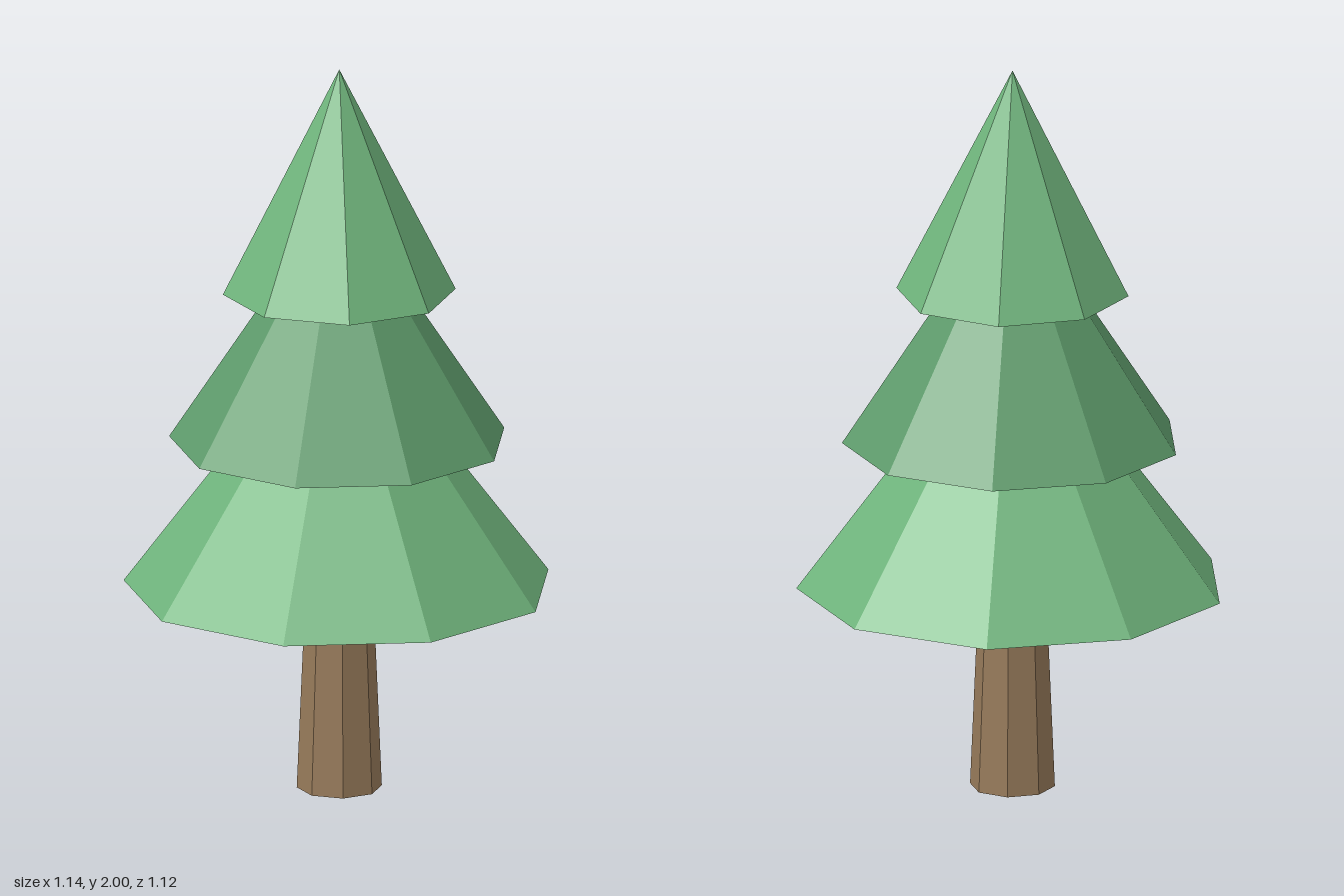
import * as THREE from 'three';

const AXIS_Z = 0.015; // trunk axis sits slightly forward of the centre

const paint = (color) => new THREE.MeshStandardMaterial({ color, flatShading: true, roughness: 0.9 });

// Faceted, closed section of the tree between two heights
function section(name, material, sides, bottomY, topY, bottomR, topR, turn = 0) {
  const height = topY - bottomY;
  const geometry = topR > 0
    ? new THREE.CylinderGeometry(topR, bottomR, height, sides, 1, false, turn)
    : new THREE.ConeGeometry(bottomR, height, sides, 1, false, turn);
  const mesh = new THREE.Mesh(geometry, material);
  mesh.name = name;
  mesh.position.set(0, bottomY + height / 2, AXIS_Z);
  return mesh;
}

export function createModel() {
  const tree = new THREE.Group();
  tree.name = 'pineTree';

  const bark = paint(0x967a5a);
  const lightGreen = paint(0x70b57d);
  const darkGreen = paint(0x5f9c6c);

  tree.add(
    // Tapered trunk
    section('trunk', bark, 8, 0, 0.565, 0.114, 0.09),
    // Two nine-sided tiers with a corner at the back, each ending under the next
    section('lowerFoliage', lightGreen, 9, 0.56, 0.967, 0.578, 0.272, Math.PI),
    section('middleFoliage', darkGreen, 9, 0.965, 1.382, 0.456, 0.182, Math.PI),
    // Eight-sided pointed tip
    section('topFoliage', lightGreen, 8, 1.38, 2, 0.312, 0),
  );
  return tree;
}
